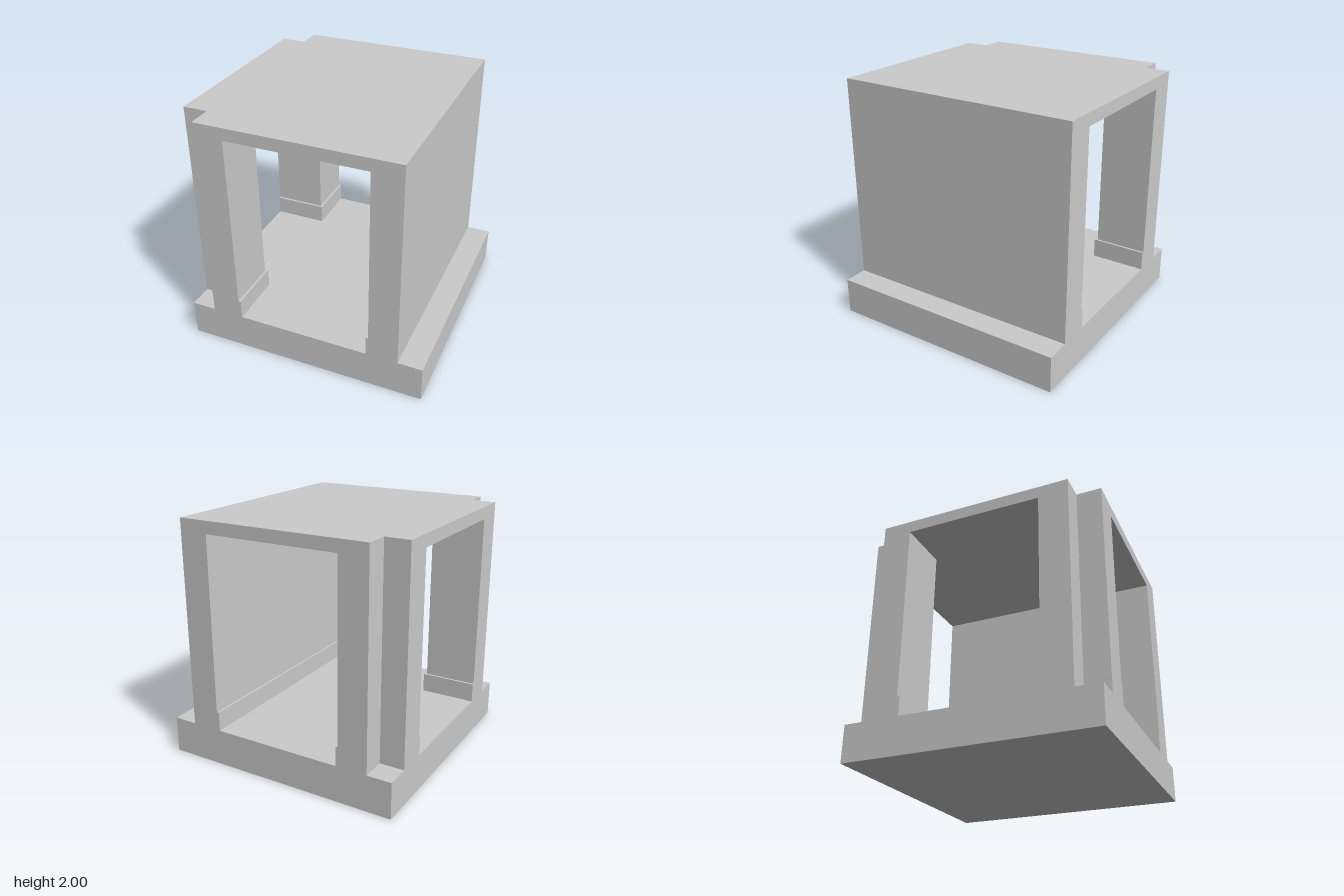
import * as THREE from 'three';

const material = new THREE.MeshStandardMaterial({ color: 0xcccccc });

// Raises a floor plan of [x, z] corners from y0 to y1.
function raise(name, plan, y0, y1) {
  const shape = new THREE.Shape(plan.map(([x, z]) => new THREE.Vector2(x, -z)));
  const geometry = new THREE.ExtrudeGeometry(shape, { depth: y1 - y0, bevelEnabled: false });
  geometry.rotateX(-Math.PI / 2).translate(0, y0, 0);
  const mesh = new THREE.Mesh(geometry, material);
  mesh.name = name;
  return mesh;
}

const rect = (x0, x1, z0, z1) => [[x0, z0], [x1, z0], [x1, z1], [x0, z1]];

export function createModel() {
  const FLOOR = 0.3, CEILING = 1.9, TOP = 2, SKIRT = 0.46;
  const IN = 0.56, LIP = 0.54, OUT = 0.8;
  const group = new THREE.Group();
  group.name = 'openRoom';

  // Floor slab and the solid wall with its skirting
  group.add(
    raise('floorSlab', rect(-1, 1, -1, 1), 0, FLOOR),
    raise('solidWall', rect(IN, OUT, -1, 1), FLOOR, CEILING),
    raise('wallSkirting', rect(LIP, IN, -1, 1), FLOOR, SKIRT)
  );

  // Roof slab, notched at the two right corners
  group.add(raise('roofSlab', [
    [OUT, -1], [OUT, 1], [-OUT, 1], [-OUT, OUT],
    [-1, OUT], [-1, -OUT], [-OUT, -OUT], [-OUT, -1],
  ], CEILING, TOP));

  // Notched corner piers with wrap-around skirting, front and back
  for (const [side, s] of [['front', 1], ['back', -1]]) {
    const flip = (plan) => plan.map(([x, z]) => [x, z * s]);
    const pier = [[-IN, IN], [-IN, 1], [-OUT, 1], [-OUT, OUT], [-1, OUT], [-1, IN]];
    const skirting = [[-1, IN], [-IN, IN], [-IN, 1], [-LIP, 1], [-LIP, LIP], [-1, LIP]];
    group.add(
      raise(side + 'Pier', flip(pier), FLOOR, CEILING),
      raise(side + 'PierSkirting', flip(skirting), FLOOR, SKIRT)
    );
  }
  return group;
}
